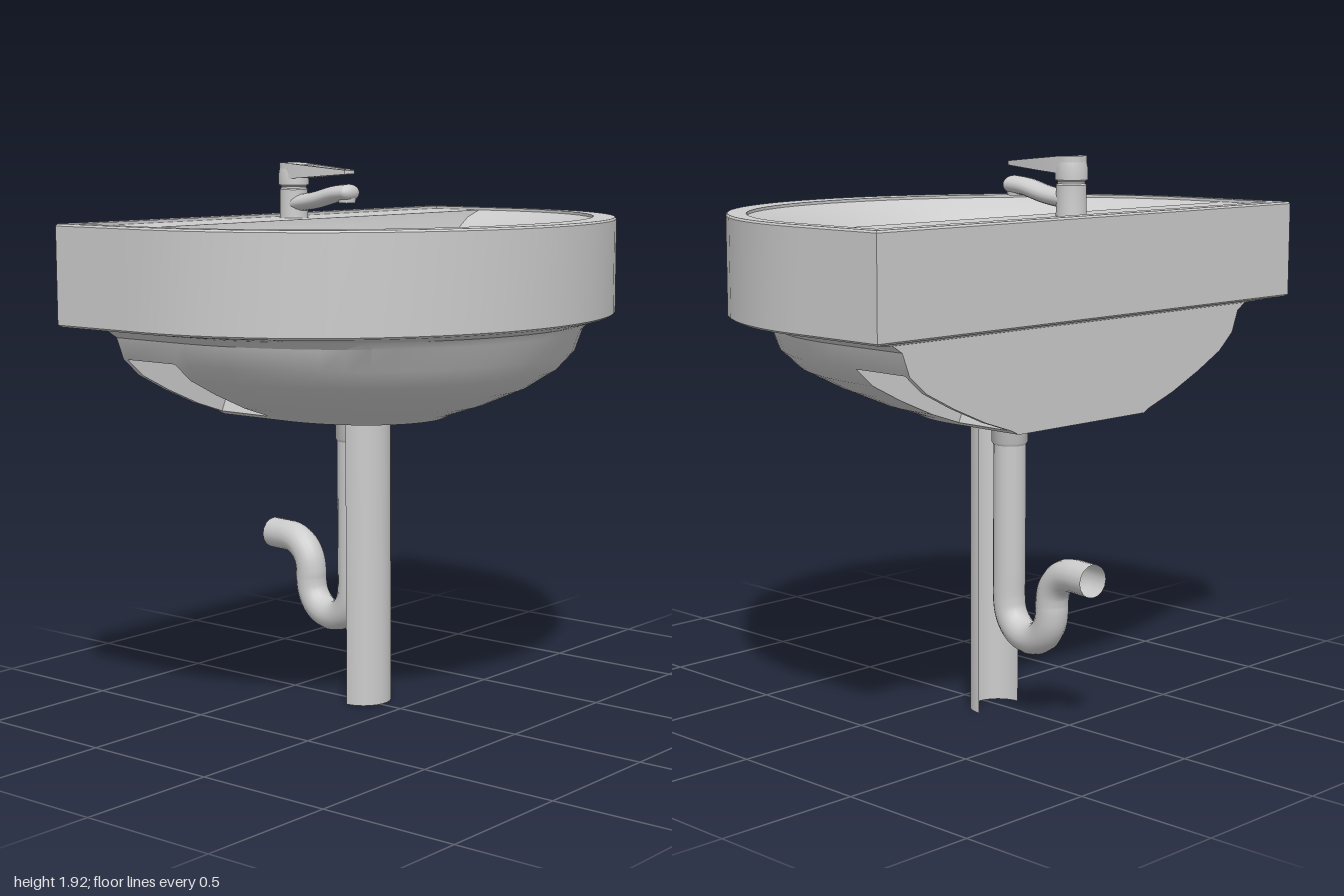
import * as THREE from 'three';
import { toCreasedNormals } from 'three/addons/utils/BufferGeometryUtils.js';

const material = new THREE.MeshStandardMaterial({ color: 0xcccccc, side: THREE.DoubleSide });
const ARC = 32;                 // segments of the rounded front
const POCKET = [-0.53, -0.31];  // x range of the side openings
const POCKET_Y = [1.06, 1.28];

function add(parent, name, geometry, x = 0, y = 0, z = 0) {
  const mesh = new THREE.Mesh(geometry, material);
  mesh.name = name;
  mesh.position.set(x, y, z);
  parent.add(mesh);
  return mesh;
}

// D-shaped outline: straight back and sides, elliptical front
function outline([y, back, front, w]) {
  const cx = -0.25;
  const side = [back, Math.max(back, POCKET[0]), Math.max(back, POCKET[1])];
  const pts = side.map((x) => [x, y, w]);
  for (let i = 0; i <= ARC; i++) {
    const a = (i / ARC) * Math.PI;
    pts.push([cx + (front - cx) * Math.sin(a), y, w * Math.cos(a)]);
  }
  return pts.concat(side.reverse().map((x) => [x, y, -w]));
}

// Skin over a stack of outlines; skip(row, column) leaves a face open
function loft(rows, crease, skip = () => false) {
  const rings = rows.map(outline);
  const n = rings[0].length;
  const index = [];
  for (let r = 0; r < rows.length - 1; r++) {
    for (let c = 0; c < n; c++) {
      if (skip(r, c, n)) continue;
      const a = r * n + c, b = r * n + ((c + 1) % n);
      index.push(a, a + n, b, b, a + n, b + n);
    }
  }
  const g = new THREE.BufferGeometry();
  g.setAttribute('position', new THREE.Float32BufferAttribute(rings.flat(2), 3));
  g.setIndex(index);
  return toCreasedNormals(g, crease);
}

function lathe(points) {
  const g = new THREE.LatheGeometry(points.map(([r, y]) => new THREE.Vector2(r, y)), 24);
  return toCreasedNormals(g, 0.6);
}

function buildBasin(group) {
  // Rows: height, back x, front x, half width
  const rim = [
    [1.725, -0.37, 0.58, 0.95], [1.725, -0.58, 0.58, 0.95],
    [1.735, -0.58, 0.58, 0.95], [1.735, -0.63, 0.67, 0.995],
    [1.728, -0.635, 0.675, 1], [1.405, -0.635, 0.675, 1],
    [1.398, -0.625, 0.665, 0.99], [1.38, -0.55, 0.61, 0.86],
  ];
  add(group, 'rim', loft(rim, 0.3));

  // Shallow shoulder, steep sides, then a gentle fall to the drain
  const bowl = [
    [1.725, -0.37, 0.58, 0.95], [1.70, -0.365, 0.55, 0.87], [1.66, -0.35, 0.51, 0.79],
    [1.58, -0.34, 0.44, 0.74], [1.5, -0.34, 0.34, 0.68], [1.45, -0.335, 0.22, 0.53],
    [1.4, -0.335, 0.09, 0.36], [1.34, -0.33, -0.07, 0.17], [1.3, -0.3, -0.18, 0.06],
  ];
  add(group, 'bowl', loft(bowl, 0.6));
  add(group, 'drain', new THREE.CylinderGeometry(0.065, 0.065, 0.02, 24), -0.235, 1.3, 0);

  const under = [
    [1.38, -0.55, 0.61, 0.86], [1.355, -0.55, 0.595, 0.82], [1.28, -0.55, 0.57, 0.79],
    [1.22, -0.55, 0.52, 0.72], [1.16, -0.55, 0.43, 0.6], [1.10, -0.55, 0.29, 0.46],
    [1.06, -0.55, 0.17, 0.34], [1.045, -0.55, 0.14, 0.31],
  ];
  const inPocket = (r, c, n) =>
    under[r][0] <= POCKET_Y[1] && under[r + 1][0] >= POCKET_Y[0] && (c === 1 || c === n - 3);
  add(group, 'underside', loft(under, 0.5, inPocket));

  // Opening on each side: leaning inner panel between two cheeks
  const cheek = new THREE.Shape([
    [0.34, 1.06], [0.24, 1.28], [0.79, 1.28], [0.72, 1.22], [0.6, 1.16], [0.46, 1.10],
  ].map(([z, y]) => new THREE.Vector2(z, y)));
  for (const s of [1, -1]) {
    const pocket = new THREE.Group();
    pocket.name = s > 0 ? 'frontPocket' : 'rearPocket';
    const panel = new THREE.PlaneGeometry(POCKET[1] - POCKET[0], Math.hypot(0.1, 0.22));
    panel.rotateX(-Math.atan2(0.1, 0.22));
    if (s < 0) panel.rotateY(Math.PI);
    add(pocket, 'pocketPanel', panel, (POCKET[0] + POCKET[1]) / 2, 1.17, s * 0.29);
    for (const x of POCKET) {
      add(pocket, 'pocketCheek', new THREE.ShapeGeometry(cheek).rotateY(-s * Math.PI / 2), x);
    }
    group.add(pocket);
  }

  // Overflow ring on the back wall
  add(group, 'overflow', new THREE.TorusGeometry(0.025, 0.007, 8, 20).rotateY(Math.PI / 2), -0.338, 1.56, 0);
}

function buildTap(group) {
  const tap = new THREE.Group();
  tap.name = 'tap';
  group.add(tap);
  add(tap, 'tapBody', lathe([
    [0.052, 1.72], [0.05, 1.735], [0.05, 1.825], [0.045, 1.83], [0.045, 1.836], [0.054, 1.842],
    [0.054, 1.88], [0.05, 1.9], [0.035, 1.912], [0, 1.914],
  ]), -0.488);

  // Spout, wider than tall, with a round outlet
  const path = new THREE.CatmullRomCurve3([
    [-0.48, 1.775], [-0.38, 1.79], [-0.29, 1.812], [-0.232, 1.818],
  ].map(([x, y]) => new THREE.Vector3(x, y, 0)));
  add(tap, 'spout', new THREE.TubeGeometry(path, 16, 0.03, 16)).scale.z = 1.55;
  const tip = add(tap, 'spoutTip', new THREE.SphereGeometry(0.03, 16, 12), -0.232, 1.818, 0);
  tip.scale.z = 1.55;
  add(tap, 'outlet', new THREE.CylinderGeometry(0.033, 0.03, 0.035, 20), -0.24, 1.8, 0);

  // Loop lever, drawn flat and laid on top of the body
  const lever = new THREE.Shape();
  lever.moveTo(0, -0.05);
  lever.bezierCurveTo(0.1, -0.052, 0.2, -0.035, 0.26, -0.026);
  lever.quadraticCurveTo(0.29, 0, 0.26, 0.026);
  lever.bezierCurveTo(0.2, 0.035, 0.1, 0.052, 0, 0.05);
  lever.absarc(0, 0, 0.05, Math.PI / 2, Math.PI * 1.5);
  const hole = new THREE.Path();
  hole.moveTo(0.07, -0.028);
  hole.quadraticCurveTo(0.05, 0, 0.07, 0.028);
  hole.quadraticCurveTo(0.17, 0.027, 0.24, 0.014);
  hole.lineTo(0.24, -0.014);
  hole.quadraticCurveTo(0.17, -0.027, 0.07, -0.028);
  lever.holes.push(hole);
  const g = new THREE.ExtrudeGeometry(lever, { depth: 1, bevelEnabled: false, curveSegments: 10 });
  g.rotateX(-Math.PI / 2);
  const p = g.attributes.position;
  for (let i = 0; i < p.count; i++) {
    // Thins towards the tip
    const t = Math.min(1, Math.max(0, p.getX(i) / 0.28));
    p.setY(i, p.getY(i) > 0.5 ? 1.92 - 0.025 * t : 1.862 + 0.022 * t);
  }
  add(tap, 'lever', toCreasedNormals(g, 0.6), -0.488);
}

function buildDrainPipe(group) {
  const trap = new THREE.Group();
  trap.name = 'drainPipe';
  trap.position.set(-0.235, 0, -0.02);
  trap.rotation.y = -0.14;
  group.add(trap);

  // Straight drop, U bend, then a quarter bend to the wall
  const R = 0.115, pts = [];
  for (let y = 1.1; y > 0.45; y -= 0.1) pts.push([0, y]);
  for (let i = 0; i <= 8; i++) {
    const a = -(i / 8) * Math.PI;
    pts.push([-R + R * Math.cos(a), 0.4 + R * Math.sin(a)]);
  }
  for (let i = 0; i <= 4; i++) {
    const a = (i / 8) * Math.PI;
    pts.push([-3 * R + R * Math.cos(a), 0.43 + R * Math.sin(a)]);
  }
  pts.push([-0.39, 0.545], [-0.44, 0.545]);
  const curve = new THREE.CatmullRomCurve3(pts.map(([x, y]) => new THREE.Vector3(x, y, 0)));
  add(trap, 'pipe', new THREE.TubeGeometry(curve, 90, 0.056, 16));
  add(trap, 'collar', lathe([[0.056, 0.94], [0.062, 0.95], [0.062, 1.29]]));
}

export function createModel() {
  const model = new THREE.Group();
  model.name = 'washbasin';
  buildBasin(model);
  buildTap(model);
  buildDrainPipe(model);
  // Half-round pedestal, open at the back
  const pedestal = new THREE.CylinderGeometry(0.098, 0.098, 1.18, 20, 1, true, 0, Math.PI);
  add(model, 'pedestal', pedestal, -0.187, 0.59, -0.022);
  return model;
}
